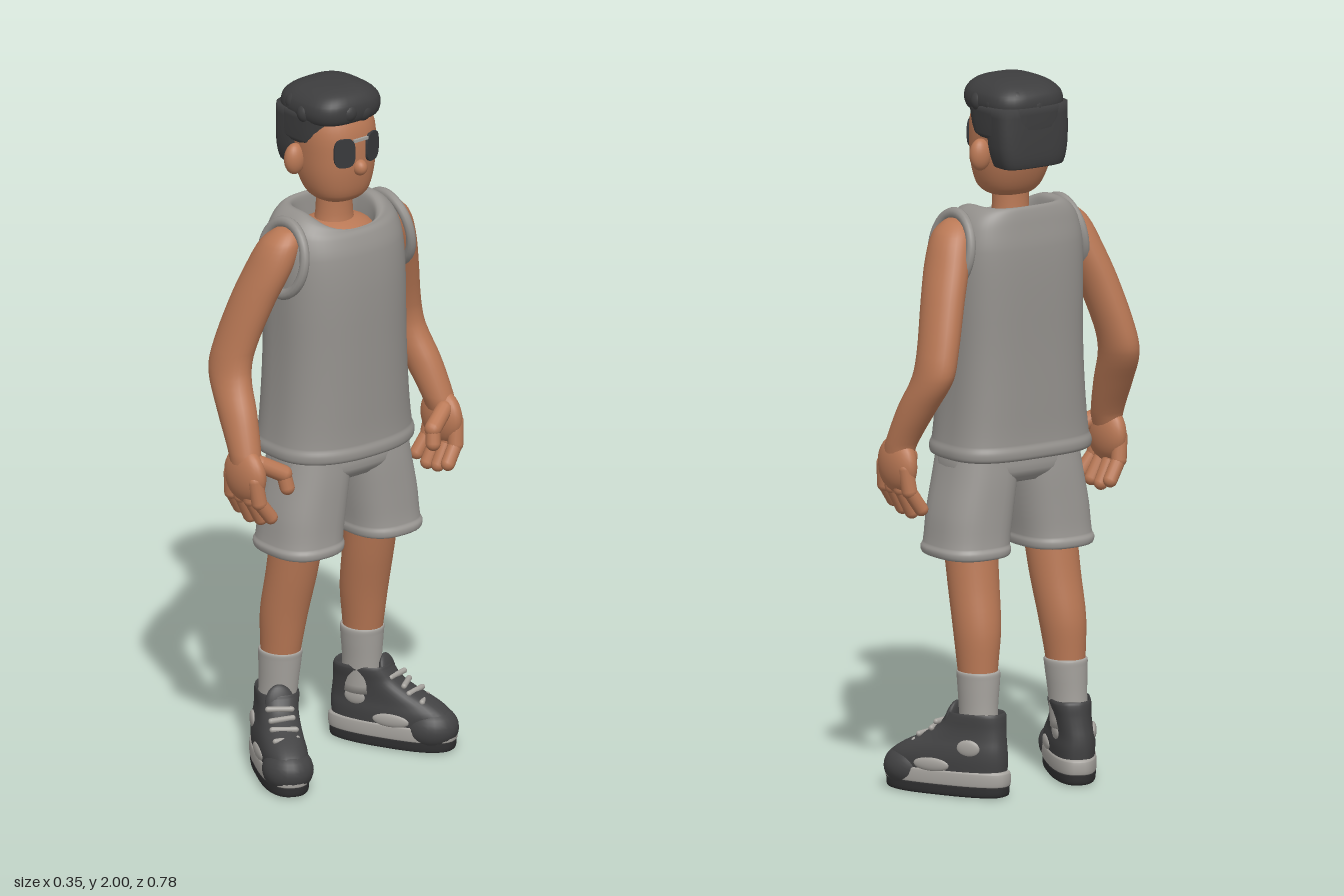
import * as THREE from 'three';

const mat = (name, color) => {
  const m = new THREE.MeshStandardMaterial({ color });
  m.name = name;
  return m;
};

// Smooth body through horizontal rings, listed bottom up: [y, cx, cz, rx, rz, front dip].
// ef and eb set how boxy the front (+x) and back of each ring are; taper widens the front.
function loft(sections, { n = 36, ef = 2, eb = ef, sub = 4, taper = 0 } = {}) {
  const S = sections.map(s => [...s, 0].slice(0, 6));
  const t = [0];
  for (let i = 1; i < S.length; i++) t.push(t[i - 1] + Math.hypot(...S[i].map((v, k) => v - S[i - 1][k])));
  const slope = (i, k) => {
    const a = Math.max(i - 1, 0), b = Math.min(i + 1, S.length - 1);
    return (S[b][k] - S[a][k]) / (t[b] - t[a]);
  };
  const rings = [S[0]];
  for (let i = 0; i < S.length - 1; i++) {
    const h = t[i + 1] - t[i];
    for (let j = 1; j <= sub; j++) {
      const u = j / sub, u2 = u * u, u3 = u2 * u;
      rings.push(S[i].map((v, k) => (2 * u3 - 3 * u2 + 1) * v + (3 * u2 - 2 * u3) * S[i + 1][k]
        + h * ((u3 - 2 * u2 + u) * slope(i, k) + (u3 - u2) * slope(i + 1, k))));
    }
  }
  const pos = [], idx = [];
  for (const [y, cx, cz, rx, rz, dip] of rings) {
    for (let j = 0; j < n; j++) {
      const a = j / n * Math.PI * 2, c = Math.cos(a), s = Math.sin(a);
      const e = 2 / (c > 0 ? ef : eb);
      pos.push(cx + rx * Math.sign(c) * Math.abs(c) ** e, y - dip * Math.max(0, c) ** 1.5,
        cz + rz * Math.sign(s) * Math.abs(s) ** e * (1 + taper * c));
    }
  }
  for (let i = 0; i < rings.length - 1; i++) {
    for (let j = 0; j < n; j++) {
      const a = i * n + j, b = i * n + (j + 1) % n;
      idx.push(a, a + n, b, b, a + n, b + n);
    }
  }
  // End caps
  const last = (rings.length - 1) * n, bottom = pos.length / 3, f = rings[0], l = rings[rings.length - 1];
  pos.push(f[1], f[0], f[2], l[1], l[0] - l[5] * 0.4, l[2]);
  for (let j = 0; j < n; j++) {
    const k = (j + 1) % n;
    idx.push(bottom, j, k, bottom + 1, last + k, last + j);
  }
  const g = new THREE.BufferGeometry();
  g.setAttribute('position', new THREE.Float32BufferAttribute(pos, 3));
  g.setIndex(idx);
  g.computeVertexNormals();
  return g;
}

export function createModel() {
  const skin = mat('skin', 0xb97855), shirt = mat('shirt grey', 0x94918d), shorts = mat('shorts grey', 0x9d9a96);
  const hair = mat('hair charcoal', 0x3d3d3e), lens = mat('lens dark', 0x38393c);
  const shoe = mat('shoe charcoal', 0x424243), light = mat('light grey', 0xa5a29d), sole = mat('sole black', 0x303031);
  const root = new THREE.Group();
  root.name = 'standingMan';

  const add = (parent, name, geo, m, p = [0, 0, 0]) => {
    const mesh = new THREE.Mesh(geo, m);
    mesh.name = name;
    mesh.position.set(...p);
    parent.add(mesh);
    return mesh;
  };
  const ball = (parent, name, m, p, r) => {
    const b = add(parent, name, new THREE.SphereGeometry(1, 24, 16), m, p);
    b.scale.set(...r);
    return b;
  };
  const capsule = (parent, name, m, a, b, r) => {
    const A = new THREE.Vector3(...a), B = new THREE.Vector3(...b), d = B.clone().sub(A);
    const c = add(parent, name, new THREE.CapsuleGeometry(r, d.length(), 6, 14), m, A.clone().add(B).multiplyScalar(0.5).toArray());
    c.quaternion.setFromUnitVectors(new THREE.Vector3(0, 1, 0), d.normalize());
    return c;
  };

  // Tank top with hem and scooped neck
  add(root, 'tankTop', loft([
    [0.965, 0, 0, 0.13, 0.19], [0.94, 0, 0, 0.15, 0.212], [0.945, 0, 0, 0.163, 0.224], [0.965, 0, 0, 0.165, 0.226],
    [0.985, 0, 0, 0.158, 0.219], [1.1, 0, 0, 0.155, 0.207], [1.25, 0, 0, 0.153, 0.2], [1.42, -0.002, 0, 0.151, 0.2],
    [1.53, -0.006, 0, 0.142, 0.198], [1.59, -0.01, 0, 0.127, 0.186, 0.01], [1.625, -0.012, 0, 0.117, 0.165, 0.03],
    [1.645, -0.01, 0, 0.11, 0.135, 0.045], [1.64, -0.008, 0, 0.1, 0.112, 0.055], [1.61, -0.008, 0, 0.095, 0.104, 0.055],
    [1.56, -0.008, 0, 0.09, 0.1, 0.03]], { n: 56, ef: 2.4, eb: 3.2 }), shirt);
  ball(root, 'upperChest', skin, [-0.01, 1.54, 0], [0.112, 0.068, 0.13]);

  // Neck, head, nose and ears
  add(root, 'neck', loft([[1.56, -0.012, 0, 0.06, 0.065], [1.62, -0.012, 0, 0.05, 0.053], [1.72, -0.01, 0, 0.05, 0.052]]), skin);
  add(root, 'head', loft([[1.662, 0.0, 0, 0.035, 0.04], [1.668, 0, 0, 0.06, 0.062], [1.69, -0.002, 0, 0.083, 0.085],
    [1.74, -0.008, 0, 0.102, 0.102], [1.8, -0.014, 0, 0.113, 0.109], [1.88, -0.02, 0, 0.115, 0.11],
    [1.95, -0.025, 0, 0.09, 0.09]], { ef: 2.3 }), skin);
  ball(root, 'nose', skin, [0.098, 1.775, 0], [0.023, 0.023, 0.02]);

  // Hair: nape, sides, raised top and a lumpy rim
  const hairGroup = new THREE.Group();
  hairGroup.name = 'hair';
  root.add(hairGroup);
  add(hairGroup, 'hairBack', loft([[1.755, -0.095, 0, 0.04, 0.085], [1.762, -0.098, 0, 0.053, 0.1], [1.82, -0.095, 0, 0.06, 0.114],
    [1.93, -0.09, 0, 0.06, 0.118]], { ef: 3.5 }), hair);
  add(hairGroup, 'hairSides', loft([[1.838, -0.055, 0, 0.085, 0.112], [1.85, -0.052, 0, 0.1, 0.117],
    [1.93, -0.042, 0, 0.112, 0.12]], { ef: 3.2 }), hair);
  add(hairGroup, 'hairTop', loft([[1.9, -0.03, 0, 0.1, 0.098], [1.91, -0.028, 0, 0.119, 0.114], [1.935, -0.027, 0, 0.126, 0.121],
    [1.962, -0.025, 0, 0.12, 0.114], [1.985, -0.02, 0, 0.095, 0.088], [1.997, -0.015, 0, 0.055, 0.05],
    [2.0, -0.015, 0, 0.02, 0.02]], { ef: 3 }), hair);
  for (let i = 0; i < 11; i++) {
    const a = (i + 0.5) / 11 * Math.PI * 2, w = 0.003 * Math.sin(i * 2.3);
    ball(hairGroup, 'hairLump', hair, [-0.025 + 0.1 * Math.cos(a), 1.938 + w * 3, 0.096 * Math.sin(a)], [0.032 + w, 0.032, 0.033]);
  }

  // Dark glasses
  const lensShape = new THREE.Shape();
  for (let i = 0; i < 28; i++) {
    const a = i / 28 * Math.PI * 2, c = Math.cos(a), s = Math.sin(a);
    lensShape[i ? 'lineTo' : 'moveTo'](0.031 * Math.sign(c) * Math.abs(c) ** 0.65, 0.042 * Math.sign(s) * Math.abs(s) ** 0.65);
  }
  const lensGeo = new THREE.ExtrudeGeometry(lensShape, { depth: 0.008, bevelEnabled: false });
  add(root, 'glassesBridge', new THREE.BoxGeometry(0.008, 0.008, 0.05), light, [0.102, 1.858, 0]);

  // Shorts waist
  add(root, 'shortsWaist', loft([[0.865, 0.003, 0, 0.09, 0.15], [0.9, 0.003, 0, 0.118, 0.205], [0.98, 0.002, 0, 0.115, 0.2]],
    { ef: 2.8 }), shorts);

  for (const s of [1, -1]) {
    const side = new THREE.Group();
    side.name = s > 0 ? 'sideA' : 'sideB';
    root.add(side);
    const mirror = rows => rows.map(([y, x, z, ...r]) => [y, x, z * s, ...r]);

    const l = add(side, 'glassesLens', lensGeo, lens, [0.088, 1.825, 0.048 * s]);
    l.rotation.y = Math.PI / 2 - s * 0.36;
    ball(side, 'ear', skin, [-0.038, 1.79, 0.12 * s], [0.026, 0.045, 0.032]);

    // Armhole trim
    const trim = add(side, 'armholeTrim', new THREE.TorusGeometry(0.09, 0.014, 10, 40), shirt, [-0.002, 1.525, 0.191 * s]);
    trim.scale.y = 1.13;
    trim.rotation.x = -s * 0.17;

    // Arm and hand
    add(side, 'arm', loft(mirror([[0.95, 0.03, 0.352, 0.05, 0.035], [1.0, 0.016, 0.345, 0.05, 0.043], [1.1, -0.035, 0.33, 0.064, 0.049],
      [1.19, -0.085, 0.313, 0.071, 0.05], [1.26, -0.087, 0.298, 0.07, 0.051], [1.4, -0.055, 0.258, 0.073, 0.054],
      [1.5, -0.026, 0.222, 0.074, 0.056], [1.57, -0.01, 0.195, 0.062, 0.053], [1.605, -0.003, 0.175, 0.035, 0.035],
      [1.612, 0, 0.17, 0.01, 0.01]]), { n: 28 }), skin);
    ball(side, 'palm', skin, [0.028, 0.935, 0.352 * s], [0.077, 0.08, 0.04]);
    const fingers = [[-0.022, -0.037, 0.82], [0.014, 0.008, 0.805], [0.05, 0.053, 0.81], [0.08, 0.096, 0.825]];
    for (const [x0, x1, y] of fingers) {
      capsule(side, 'finger', skin, [x0, 0.93, 0.36 * s], [(x0 + x1) / 2, 0.868, 0.352 * s], 0.022);
      capsule(side, 'fingerTip', skin, [(x0 + x1) / 2, 0.868, 0.352 * s], [x1, y - 0.005, 0.318 * s], 0.02);
    }
    capsule(side, 'thumb', skin, [0.065, 0.97, 0.33 * s], [0.092, 0.935, 0.268 * s], 0.024);
    capsule(side, 'thumbTip', skin, [0.092, 0.935, 0.268 * s], [0.1, 0.895, 0.262 * s], 0.021);

    // Shorts leg with rolled hem
    add(side, 'shortsLeg', loft(mirror([[0.69, 0.003, 0.14, 0.09, 0.08], [0.662, 0.003, 0.14, 0.11, 0.095], [0.664, 0.003, 0.14, 0.122, 0.107],
      [0.68, 0.003, 0.14, 0.125, 0.111], [0.695, 0.003, 0.138, 0.119, 0.107], [0.78, 0.003, 0.127, 0.118, 0.108],
      [0.88, 0.003, 0.11, 0.118, 0.104], [0.95, 0.003, 0.102, 0.115, 0.099]]), { ef: 2.6 }), shorts);

    // Leg and sock
    add(side, 'leg', loft(mirror([[0.3, -0.068, 0.148, 0.055, 0.05], [0.36, -0.064, 0.147, 0.061, 0.055], [0.46, -0.055, 0.143, 0.07, 0.065],
      [0.58, -0.03, 0.137, 0.073, 0.071], [0.72, -0.005, 0.133, 0.077, 0.075]])), skin);
    add(side, 'sock', loft(mirror([[0.15, -0.078, 0.152, 0.06, 0.05], [0.24, -0.072, 0.15, 0.06, 0.051], [0.325, -0.068, 0.147, 0.064, 0.058],
      [0.343, -0.067, 0.147, 0.064, 0.058], [0.346, -0.067, 0.147, 0.056, 0.05]])), light);

    // Shoe, toes turned out
    const foot = new THREE.Group();
    foot.name = 'shoe';
    foot.position.set(-0.005, 0, 0.205 * s);
    foot.rotation.y = -s * 0.47;
    side.add(foot);
    const opt = { ef: 2.4, eb: 2.8, taper: 0.13, n: 40 };
    add(foot, 'outsole', loft([[0, 0, 0, 0.17, 0.056], [0.006, 0, 0, 0.183, 0.064], [0.034, 0, 0, 0.186, 0.066]], opt), sole);
    add(foot, 'midsole', loft([[0.028, 0, 0, 0.18, 0.062], [0.034, 0, 0, 0.188, 0.067], [0.066, -0.002, 0, 0.186, 0.066],
      [0.074, -0.002, 0, 0.178, 0.06]], opt), light);
    add(foot, 'upper', loft([[0.06, 0, 0, 0.178, 0.062], [0.1, -0.004, 0, 0.177, 0.064], [0.13, -0.022, 0, 0.157, 0.06],
      [0.16, -0.05, -0.004 * s, 0.124, 0.056], [0.19, -0.072, -0.008 * s, 0.098, 0.055],
      [0.222, -0.083, -0.012 * s, 0.084, 0.058], [0.232, -0.083, -0.012 * s, 0.078, 0.055],
      [0.215, -0.083, -0.012 * s, 0.066, 0.046]], opt), shoe);
    ball(foot, 'toeCap', shoe, [0.113, 0.062, 0], [0.08, 0.063, 0.071]);
    const tongue = ball(foot, 'tongue', shoe, [-0.012, 0.205, -0.006 * s], [0.016, 0.055, 0.042]);
    tongue.rotation.z = 0.25;
    // Laces across the slope
    for (let i = 0; i < 4; i++) {
      const x = 0.014 + i * 0.027, y = 0.2 - i * 0.02, tilt = i % 2 ? 0.006 : -0.006;
      capsule(foot, 'lace', light, [x - tilt, y, -0.032], [x + tilt, y, 0.032], 0.008);
    }
    // Pale side patches
    for (const k of [1, -1]) {
      const p = ball(foot, 'sidePatch', light, [-0.09, 0.138, 0.052 * k], [0.034, 0.024, 0.009]);
      p.rotation.y = -k * 0.1;
      ball(foot, 'sideStripe', light, [0.02, 0.085, 0.062 * k], [0.055, 0.02, 0.009]);
    }
  }
  return root;
}
